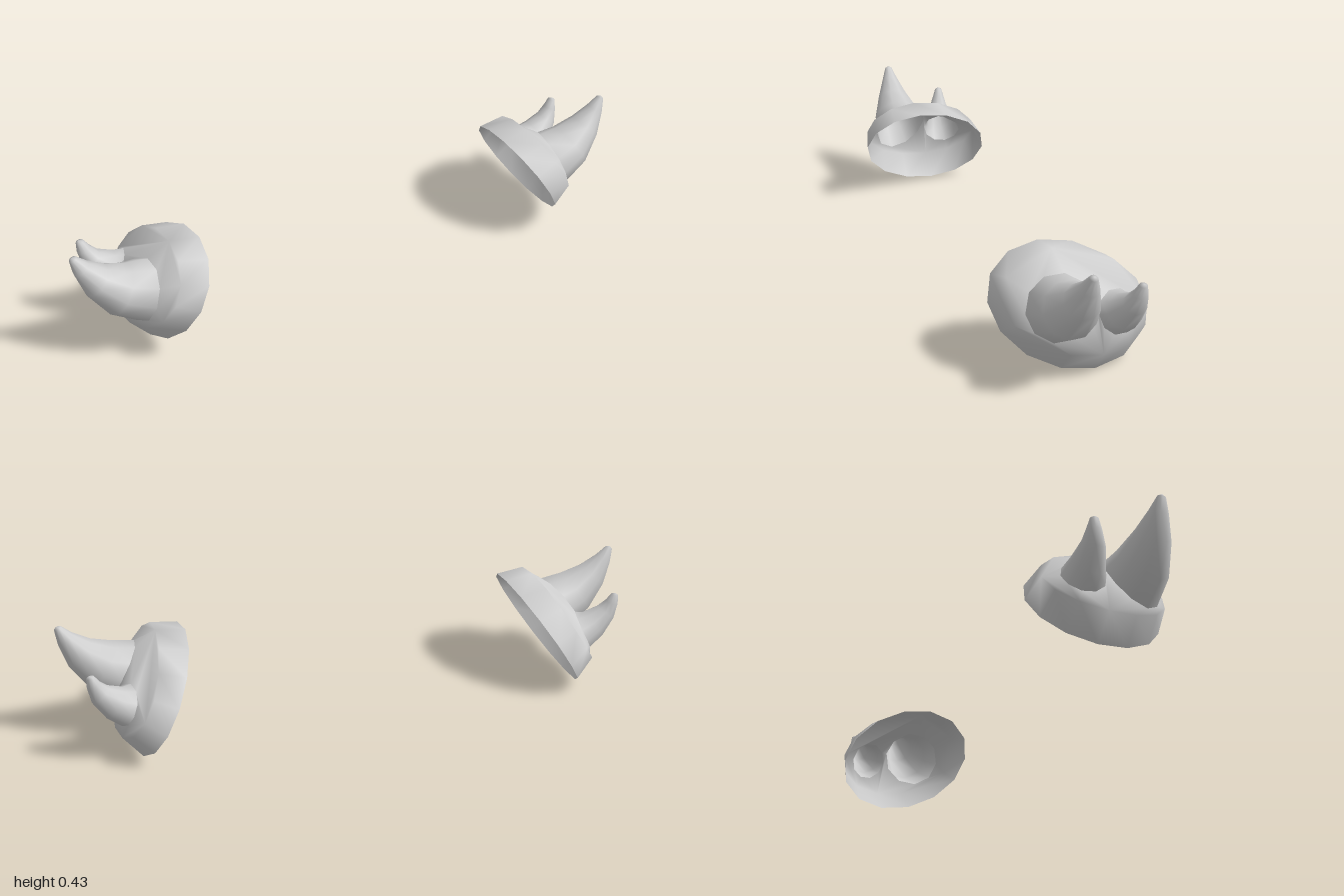
import * as THREE from 'three';
import { mergeGeometries, mergeVertices } from 'three/addons/utils/BufferGeometryUtils.js';

// Local frame of a pad: x runs up the rim, y runs to the front, z points out of the dome.
const RIM_A = 0.205, RIM_B = 0.245, SKEW = 0.22, SIDES = 14;
const frame = new THREE.Matrix4()
  .makeBasis(
    new THREE.Vector3(-0.52, 0.854, 0),
    new THREE.Vector3(0, 0, 1),
    new THREE.Vector3(0.854, 0.52, 0))
  .setPosition(0.69, 0.18, 0);

const material = new THREE.MeshStandardMaterial({ color: 0xcccccc, side: THREE.DoubleSide });

// Height of the dome over the rim plane
function domeHeight(a, b) {
  const p = a / RIM_A;
  const q = (b / RIM_B - p * Math.sin(SKEW)) / Math.cos(SKEW);
  return 0.145 - 0.075 * (p * p + q * q);
}

// Skewed oval used for the rim and the shoulder of the shell
function oval(scaleA, scaleB) {
  return Array.from({ length: SIDES }, (_, i) => {
    const t = (i / SIDES) * Math.PI * 2;
    return new THREE.Vector2(RIM_A * scaleA * Math.cos(t), RIM_B * scaleB * Math.sin(t + SKEW));
  });
}

// Skin joining equal-sized loops of points, with an optional closing point
function skin(loops, tip) {
  const n = loops[0].length, index = [];
  const points = loops.flat();
  for (let r = 0; r < loops.length - 1; r++) {
    for (let i = 0; i < n; i++) {
      const j = (i + 1) % n, a = r * n, b = a + n;
      index.push(a + i, a + j, b + j, a + i, b + j, b + i);
    }
  }
  if (tip) {
    const last = (loops.length - 1) * n;
    for (let i = 0; i < n; i++) index.push(last + i, last + (i + 1) % n, points.length);
    points.push(tip);
  }
  const g = new THREE.BufferGeometry().setFromPoints(points);
  g.setIndex(index);
  return g;
}

// Spike centre lines: [a, b, height, radius]
const spikes = {
  largeSpike: [
    [-0.01, 0.07, 0.122, 0.102], [-0.021, 0.068, 0.197, 0.087], [-0.004, 0.064, 0.284, 0.057],
    [0.026, 0.061, 0.349, 0.03], [0.051, 0.06, 0.387, 0.013]],
  smallSpike: [
    [-0.05, -0.108, 0.11, 0.069], [-0.052, -0.112, 0.161, 0.057], [-0.037, -0.12, 0.223, 0.037],
    [-0.012, -0.127, 0.258, 0.023], [0.01, -0.13, 0.28, 0.013]],
};

// Rings square to the centre line; the first one lies on the dome
function spikeLoops(rows) {
  return rows.map(([a, b, h, r], k) => {
    const p = rows[Math.max(k - 1, 0)], q = rows[Math.min(k + 1, rows.length - 1)];
    const tilt = k === 0 ? 0 : Math.atan2(q[0] - p[0], q[2] - p[2]);
    return Array.from({ length: 10 }, (_, i) => {
      const t = ((i + 0.5) / 10) * Math.PI * 2;
      const v = new THREE.Vector3(
        a + r * Math.cos(t) * Math.cos(tilt),
        b + r * Math.sin(t),
        h - r * Math.cos(t) * Math.sin(tilt));
      if (k === 0) v.z = domeHeight(v.x, v.y);
      return v;
    });
  });
}

function finish(geometry, name) {
  geometry.applyMatrix4(frame);
  geometry.computeVertexNormals();
  const mesh = new THREE.Mesh(geometry, material);
  mesh.name = name;
  return mesh;
}

function createPad(name) {
  const pad = new THREE.Group();
  pad.name = name;

  // Spikes, hollow and open towards the shell
  const holes = [];
  for (const [spikeName, rows] of Object.entries(spikes)) {
    const loops = spikeLoops(rows);
    holes.push(new THREE.Path(loops[0].map(v => new THREE.Vector2(v.x, v.y))));
    const [a, b, h] = rows[rows.length - 1];
    pad.add(finish(skin(loops, new THREE.Vector3(a + 0.003, b, h + 0.006)), spikeName));
  }

  // Shell: flared side wall plus a domed face pierced under the spikes
  const shoulder = oval(0.82, 0.92);
  const wall = skin([
    oval(1, 1).map(p => new THREE.Vector3(p.x, p.y, 0)),
    shoulder.map(p => new THREE.Vector3(p.x, p.y, domeHeight(p.x, p.y))),
  ]);
  const outline = new THREE.Shape(shoulder);
  outline.holes = holes;
  const face = new THREE.ShapeGeometry(outline, 1);
  face.deleteAttribute('uv');
  face.deleteAttribute('normal');
  const pos = face.attributes.position;
  for (let i = 0; i < pos.count; i++) pos.setZ(i, domeHeight(pos.getX(i), pos.getY(i)));
  pad.add(finish(mergeVertices(mergeGeometries([wall, face])), 'shell'));
  return pad;
}

export function createModel() {
  const model = new THREE.Group();
  model.name = 'spikedShoulderPads';
  const left = createPad('leftPad');
  const right = createPad('rightPad');
  right.scale.x = -1;
  model.add(left, right);
  return model;
}
